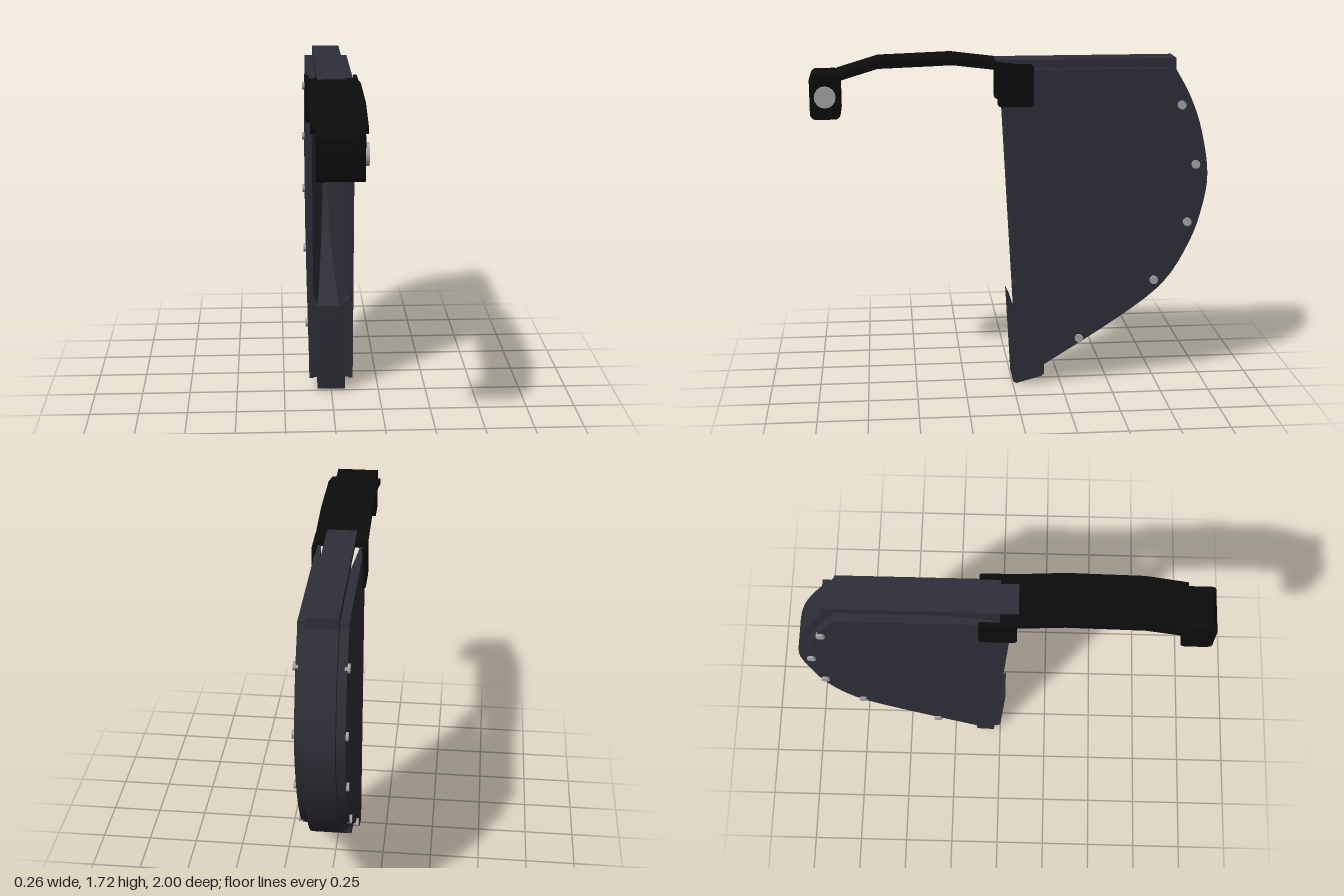
import * as THREE from 'three';
import { toCreasedNormals } from 'three/addons/utils/BufferGeometryUtils.js';

const mat = (name, color) => {
  const m = new THREE.MeshStandardMaterial({ color });
  m.name = name;
  return m;
};

// Points are [u, y], where u runs backward (u = -z)
const smooth = (pts, n) =>
  new THREE.SplineCurve(pts.map(p => new THREE.Vector2(...p))).getPoints(n).map(v => [v.x, v.y]);
const toShape = pts => new THREE.Shape(pts.map(p => new THREE.Vector2(...p)));

function roundRect(u0, y0, u1, y1, r) {
  const s = new THREE.Shape();
  s.absarc(u1 - r, y0 + r, r, -Math.PI / 2, 0);
  s.absarc(u1 - r, y1 - r, r, 0, Math.PI / 2);
  s.absarc(u0 + r, y1 - r, r, Math.PI / 2, Math.PI);
  s.absarc(u0 + r, y0 + r, r, Math.PI, Math.PI * 1.5);
  return s;
}

// Side profile extruded from x = a(u) to x = b(u)
function slab(shape, a, b) {
  const g = new THREE.ExtrudeGeometry(shape, { depth: 1, bevelEnabled: false, curveSegments: 4 });
  g.rotateY(Math.PI / 2);
  const p = g.attributes.position;
  const at = (f, u) => (typeof f === 'function' ? f(u) : f);
  for (let i = 0; i < p.count; i++) {
    const u = -p.getZ(i);
    p.setX(i, p.getX(i) < 0.5 ? at(a, u) : at(b, u));
  }
  return toCreasedNormals(g, 0.5);
}

export function createModel() {
  const leather = mat('dark slate leather', 0x2f2f39);
  const black = mat('black strap', 0x0c0c0c);
  const metal = mat('rivet metal', 0xa6a6a6);
  const group = new THREE.Group();
  const add = (name, geo, material) => {
    const m = new THREE.Mesh(geo, material);
    m.name = name;
    group.add(m);
    return m;
  };

  // Welt: the band running along the top, the curved back and up the front lip
  const outer = smooth([[0.82, 1.645], [0.9, 1.5], [0.96, 1.33], [0.997, 1.11], [0.975, 0.935],
    [0.915, 0.75], [0.785, 0.535], [0.555, 0.35], [0.165, 0.1]], 32);
  const inner = smooth([[0.12, 0.16], [0.5, 0.41], [0.71, 0.59], [0.84, 0.79], [0.895, 0.95],
    [0.92, 1.11], [0.88, 1.31], [0.82, 1.47], [0.74, 1.6]], 24);
  const welt = toShape([[-0.085, 1.667], [-0.085, 1.7], [0.82, 1.7], ...outer,
    [0.165, 0.05], [0.15, 0.035], [0.02, 0], [0.003, 0.01], [0, 0.025], [-0.027, 0.49],
    [-0.008, 0.45], [0.02, 0.36], [0.035, 0.12], ...inner, [0.25, 1.6], [0.23, 1.667]]);
  add('welt', slab(welt, -0.073, 0.073), leather);

  // Side panels: flat outside, tapering inward to form the V-shaped pocket
  const rim = smooth([[0.78, 1.625], [0.86, 1.485], [0.92, 1.32], [0.957, 1.11], [0.935, 0.945],
    [0.88, 0.77], [0.755, 0.565], [0.53, 0.385], [0.125, 0.118]], 32);
  const panel = toShape([[-0.055, 1.655], [0.775, 1.655], ...rim, [0.13, 0.075], [0.035, 0.055]]);
  const wall = u => 0.1 - 0.0945 * (u + 0.045);

  // Strap tab beside the mouth
  const tab = roundRect(-0.08, 1.475, 0.1, 1.685, 0.02);

  const rivets = [[-0.845, 1.47], [-0.925, 1.165], [-0.89, 0.865], [-0.725, 0.56], [-0.34, 0.255]];

  for (const s of [1, -1]) {
    const side = s > 0 ? 'left' : 'right';
    const pair = (a, b) => (s > 0 ? [a, b] : [u => -(typeof b === 'function' ? b(u) : b),
      u => -(typeof a === 'function' ? a(u) : a)]);
    add(side + 'Panel', slab(panel, ...pair(wall, 0.115)), leather);
    add(side + 'StrapTab', slab(tab, ...pair(0.112, 0.13)), black);

    // Thickened lower edge of the mouth, following the sloping front edge
    const fill = new THREE.Shape([[0.114, 0.06], [0.114, 0.54], [0.072, 0.49], [0.072, 0.06]]
      .map(([x, y]) => new THREE.Vector2(s * x, y)));
    const g = new THREE.ExtrudeGeometry(fill, { depth: 0.075, bevelEnabled: false });
    const p = g.attributes.position;
    for (let i = 0; i < p.count; i++) {
      p.setZ(i, p.getZ(i) - 0.112 + 0.056 * (p.getY(i) - 0.05));
    }
    g.computeVertexNormals();
    add(side + 'MouthFiller', g, leather);

    // Rivets along the curved edge
    for (const [z, y] of rivets) {
      const r = add(side + 'Rivet', toCreasedNormals(
        new THREE.CylinderGeometry(0.022, 0.022, 0.024, 10).rotateZ(Math.PI / 2), 0.7), metal);
      r.position.set(s * 0.115, y, z);
    }
  }

  // Strap reaching forward, with a constant thickness
  const line = [[0, 1.666], [-0.3, 1.703], [-0.665, 1.69], [-0.87, 1.628]];
  const h = 0.017;
  const strap = toShape([...line.map(([u, y]) => [u, y + h]),
    ...line.map(([u, y]) => [u, y - h]).reverse()]);
  const strapGeo = slab(strap, -0.13, 0.127).toNonIndexed();
  strapGeo.computeVertexNormals();
  add('strap', strapGeo, black);

  // Thick end of the strap with its snap button
  add('strapEnd', slab(roundRect(-1, 1.423, -0.85, 1.647, 0.03), -0.107, 0.107), black);
  const snap = add('snapButton', toCreasedNormals(
    new THREE.CylinderGeometry(0.053, 0.053, 0.03, 16).rotateZ(Math.PI / 2), 0.7), metal);
  snap.position.set(0.11, 1.535, 0.925);

  return group;
}
